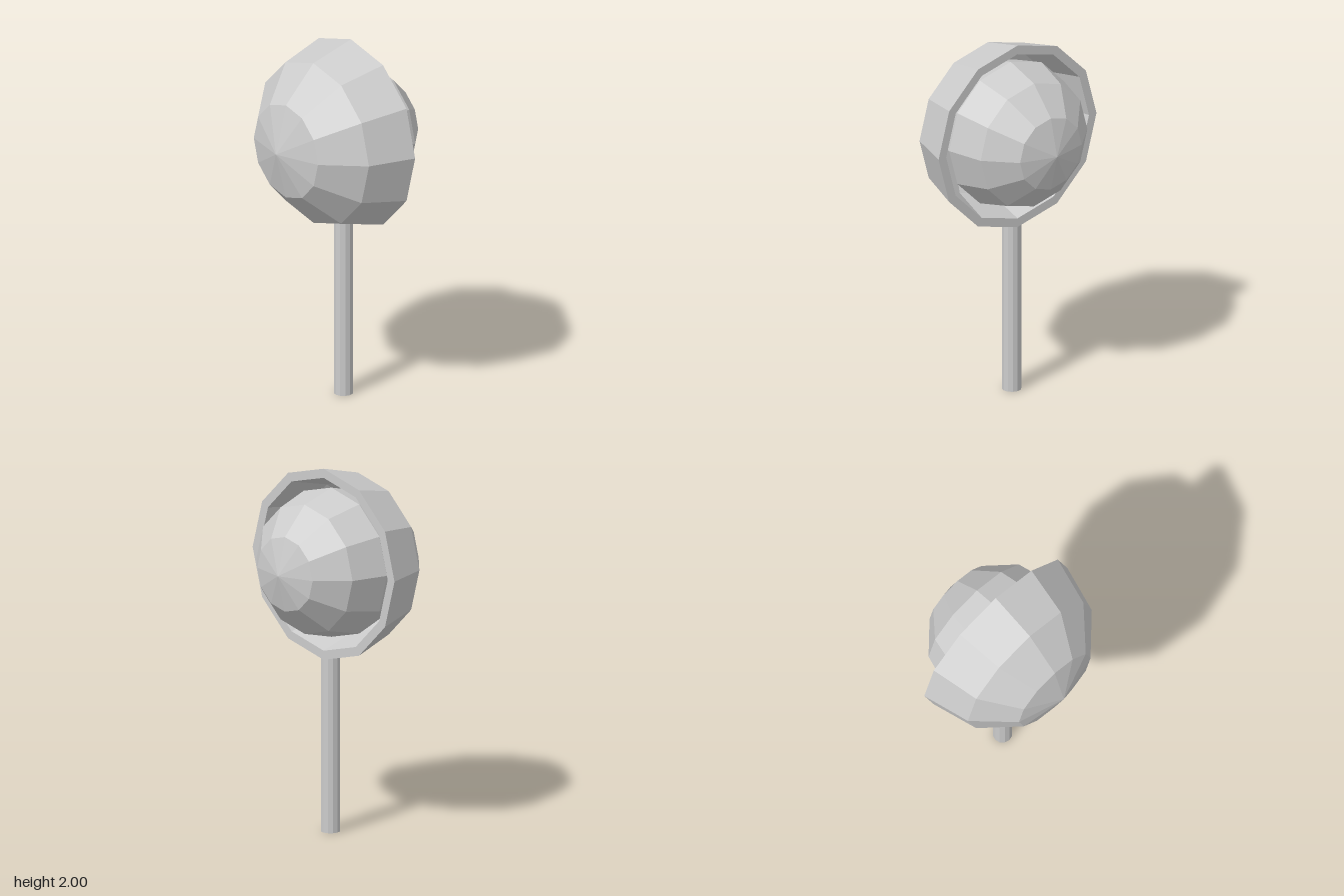
import * as THREE from 'three';

const SIDES = 12;
const CENTRE_Y = 1.475;

// Arc of a meridian: angle a is measured from the -y pole, in degrees
function arc(radius, from, to, step) {
  const points = [];
  for (let i = 0; i <= Math.round((to - from) / step); i++) {
    const a = THREE.MathUtils.degToRad(from + i * step);
    points.push(new THREE.Vector2(Math.abs(radius * Math.sin(a)), -radius * Math.cos(a)));
  }
  return points;
}

export function createModel() {
  const group = new THREE.Group();
  const material = new THREE.MeshStandardMaterial({ color: 0xcccccc, flatShading: true });

  const add = (name, geometry, x, y) => {
    const mesh = new THREE.Mesh(geometry, material);
    mesh.name = name;
    mesh.position.set(x, y, 0);
    group.add(mesh);
    return mesh;
  };

  // Thick half-shell, open towards +x: outer skin, flat rim, then inner skin
  const shellProfile = [...arc(0.525, 0, 90, 30), ...arc(0.475, 0, 90, 30).reverse()];
  const shell = add('shell', new THREE.LatheGeometry(shellProfile, SIDES), 0.087, CENTRE_Y);
  shell.rotation.z = -Math.PI / 2;

  // Faceted ball sitting in the shell, its axis along x
  const ball = add('ball', new THREE.LatheGeometry(arc(0.41, 0, 180, 30), SIDES), 0.027, CENTRE_Y);
  ball.rotation.z = -Math.PI / 2;

  // Pole ending within the wall of the shell
  const poleHeight = 0.99;
  add('pole', new THREE.CylinderGeometry(0.052, 0.052, poleHeight, SIDES), 0.035, poleHeight / 2);

  return group;
}
